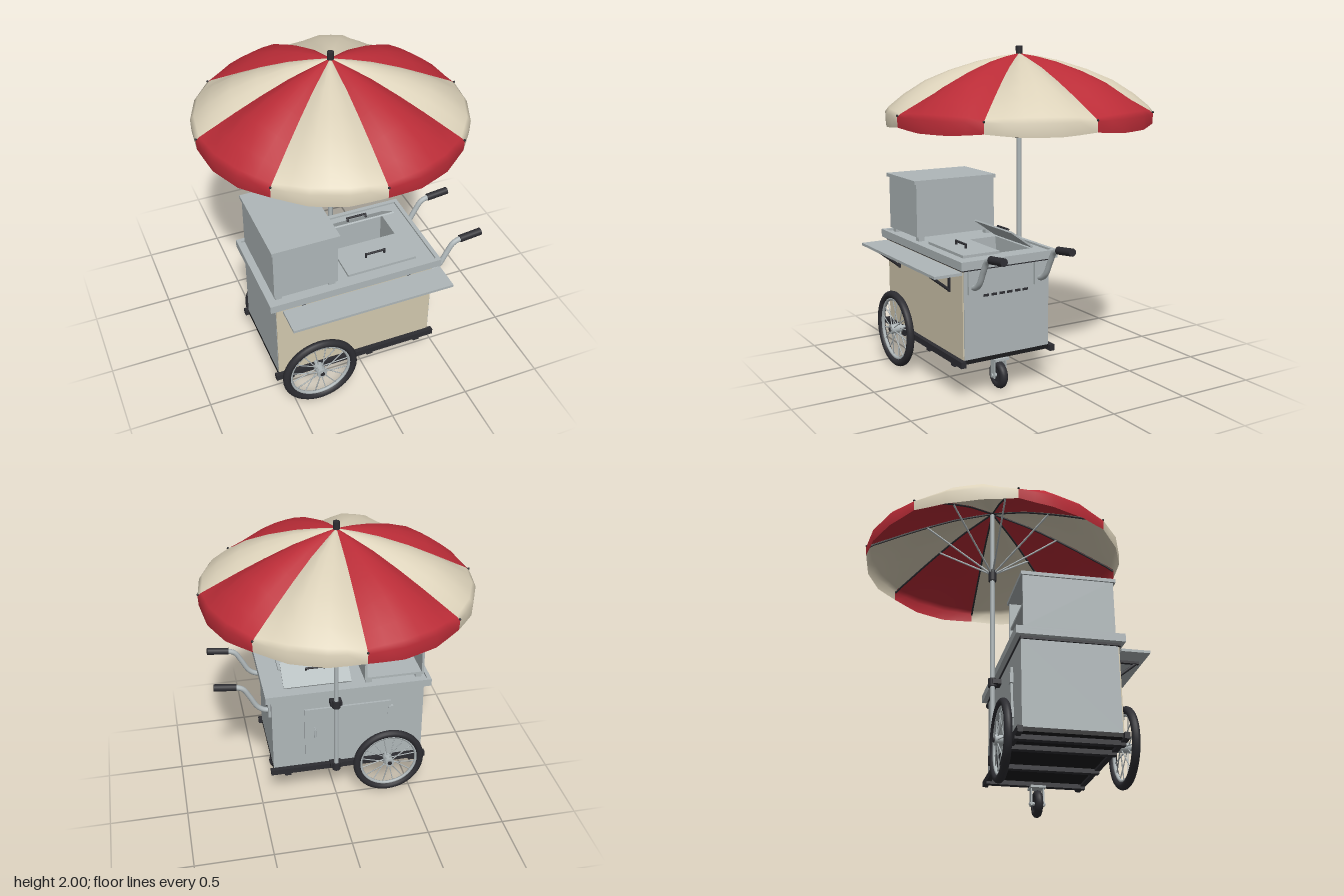
import * as THREE from 'three';

const mat = (name, color, side = THREE.FrontSide) => {
  const m = new THREE.MeshStandardMaterial({ color, side });
  m.name = name;
  return m;
};

export function createModel() {
  const steel = mat('steel', 0xafb7b9);
  const cream = mat('cream paint', 0xd3c9af);
  const creamCloth = mat('cream cloth', 0xdbd1b9, THREE.DoubleSide);
  const redCloth = mat('red cloth', 0xba2c37, THREE.DoubleSide);
  const black = mat('black', 0x2d2d32);
  const under = mat('underside black', 0x1b1b1d);

  const model = new THREE.Group();
  model.name = 'vendingCart';
  const V = (x, y, z) => new THREE.Vector3(x, y, z);

  const add = (name, geo, m, parent = model) => {
    const mesh = new THREE.Mesh(geo, m);
    mesh.name = name;
    parent.add(mesh);
    return mesh;
  };
  const group = (name, x = 0, y = 0, z = 0, parent = model) => {
    const g = new THREE.Group();
    g.name = name;
    g.position.set(x, y, z);
    parent.add(g);
    return g;
  };
  // Box given by its min and max on each axis
  const box = (name, m, x0, x1, y0, y1, z0, z1, parent) => {
    const b = add(name, new THREE.BoxGeometry(x1 - x0, y1 - y0, z1 - z0), m, parent);
    b.position.set((x0 + x1) / 2, (y0 + y1) / 2, (z0 + z1) / 2);
    return b;
  };
  // Round bar between two points
  const bar = (name, m, a, b, r, parent, sides = 12) => {
    const d = b.clone().sub(a);
    const c = add(name, new THREE.CylinderGeometry(r, r, d.length(), sides), m, parent);
    c.position.copy(a).add(b).multiplyScalar(0.5);
    c.quaternion.setFromUnitVectors(V(0, 1, 0), d.normalize());
    return c;
  };
  const rect = (P, x0, x1, z0, z1) => new P().moveTo(x0, z0).lineTo(x1, z0).lineTo(x1, z1).lineTo(x0, z1).closePath();
  // Horizontal plate or ring with a rectangular hole: [x0, x1, z0, z1]
  const ring = (name, m, outer, hole, y0, y1) => {
    const s = rect(THREE.Shape, ...outer);
    s.holes.push(rect(THREE.Path, ...hole));
    const g = new THREE.ExtrudeGeometry(s, { depth: y1 - y0, bevelEnabled: false });
    g.rotateX(Math.PI / 2).translate(0, y1, 0);
    return add(name, g, m);
  };
  // Bow-shaped pull handle along x, standing on y = 0
  const pull = (name, m, w, h, r, parent) => {
    bar(name, m, V(-w / 2, h, 0), V(w / 2, h, 0), r, parent);
    for (const s of [-1, 1]) bar(name + 'Post', m, V(s * w / 2, 0, 0), V(s * w / 2, h + r * 0.8, 0), r, parent);
  };

  // Cart body with cream front panel
  ring('bodyWalls', steel, [-0.59, 0.41, 0.05, 0.615], [-0.575, 0.395, 0.065, 0.6], 0.25, 0.77);
  box('frontPanel', cream, -0.588, 0.405, 0.252, 0.768, 0.615, 0.622);
  ring('topTrim', black, [-0.6, 0.42, 0.045, 0.63], [-0.57, 0.39, 0.07, 0.59], 0.77, 0.785);
  for (let i = 0; i < 6; i++) box('ventSlot', black, 0.41, 0.414, 0.608, 0.622, 0.195 + i * 0.052, 0.23 + i * 0.052);

  // Counter, raised rim and open well
  const open = [-0.1, 0.3, 0.11, 0.32];
  ring('counter', steel, [-0.63, 0.45, 0.015, 0.65], open, 0.785, 0.822);
  ring('counterRim', steel, [-0.63, 0.45, 0.015, 0.65], [-0.605, 0.425, 0.04, 0.625], 0.822, 0.834);
  ring('wellWalls', steel, [-0.105, 0.305, 0.105, 0.325], open, 0.62, 0.8);
  box('wellFloor', steel, -0.105, 0.305, 0.61, 0.62, 0.105, 0.325);

  // Closed front lid and raised rear lid
  box('frontLid', steel, -0.12, 0.32, 0.822, 0.838, 0.33, 0.57);
  pull('frontLidHandle', black, 0.12, 0.022, 0.007, group('frontLidPull', 0.1, 0.838, 0.465));
  const rearLid = group('rearLid', 0.1, 0.828, 0.105);
  rearLid.rotation.x = -0.62;
  box('lidPanel', steel, -0.22, 0.22, 0, 0.01, 0, 0.18, rearLid);
  pull('rearLidHandle', black, 0.12, 0.022, 0.007, group('rearLidPull', 0, 0.01, 0.11, rearLid));

  // Display cabinet, open at the back
  box('cabinetFront', steel, -0.59, -0.2, 0.85, 1.18, 0.59, 0.605);
  for (const x of [-0.59, -0.215]) box('cabinetSide', steel, x, x + 0.015, 0.85, 1.18, 0.065, 0.59);
  for (const y of [0.85, 1.0]) box('cabinetShelf', steel, -0.575, -0.215, y, y + 0.015, 0.07, 0.59);
  box('cabinetRoof', steel, -0.6, -0.192, 1.178, 1.2, 0.055, 0.62);
  for (const x of [-0.56, -0.23]) for (const z of [0.1, 0.57]) box('cabinetFoot', steel, x - 0.02, x + 0.02, 0.822, 0.85, z - 0.02, z + 0.02);

  // Folding front shelf on braces
  box('frontShelf', steel, -0.555, 0.447, 0.76, 0.776, 0.645, 0.818);
  for (const x of [-0.42, 0.25]) {
    bar('shelfBrace', black, V(x, 0.632, 0.628), V(x, 0.757, 0.785), 0.009);
    box('braceRail', black, x - 0.01, x + 0.01, 0.745, 0.76, 0.62, 0.79);
    box('bracePlate', black, x - 0.011, x + 0.011, 0.62, 0.76, 0.62, 0.63);
  }

  // Rear door with hinges and grip
  box('rearDoor', steel, -0.37, 0.2, 0.335, 0.69, 0.036, 0.05);
  for (const y of [0.41, 0.62]) box('doorHinge', steel, -0.385, -0.35, y - 0.03, y + 0.03, 0.028, 0.05);
  const grip = group('doorGrip', 0.135, 0.515, 0.036);
  grip.rotation.set(-Math.PI / 2, Math.PI / 2, 0);
  pull('doorHandle', steel, 0.06, 0.022, 0.006, grip);

  // Push handles
  for (const z of [0.56, 0.12]) {
    box('handlePlate', steel, 0.41, 0.425, 0.635, 0.77, z - 0.033, z + 0.033);
    const path = new THREE.CatmullRomCurve3([V(0.415, 0.672, z), V(0.45, 0.68, z), V(0.49, 0.71, z), V(0.535, 0.79, z),
      V(0.575, 0.853, z), V(0.62, 0.872, z), V(0.66, 0.878, z)]);
    add('pushHandle', new THREE.TubeGeometry(path, 28, 0.017, 12), steel);
    bar('handleGrip', black, V(0.617, 0.872, z), V(0.757, 0.888, z), 0.023, model, 16);
  }

  // Chassis
  box('chassisFloor', under, -0.59, 0.41, 0.225, 0.25, 0.05, 0.615);
  for (const z of [0.035, 0.632]) box('chassisRail', black, -0.612, 0.432, 0.213, 0.25, z - 0.016, z + 0.016);
  for (const x of [-0.52, -0.35, 0.0, 0.32]) box('crossBar', black, x - 0.02, x + 0.02, 0.197, 0.226, 0.02, 0.645);
  bar('axle', steel, V(-0.35, 0.25, -0.055), V(-0.35, 0.25, 0.735), 0.014);

  // Spoked wheels
  for (const z of [-0.02, 0.695]) {
    const w = group('wheel', -0.35, 0.25, z);
    add('tyre', new THREE.TorusGeometry(0.215, 0.024, 12, 48), black, w);
    add('rim', new THREE.TorusGeometry(0.189, 0.011, 8, 48), steel, w);
    bar('hub', steel, V(0, 0, -0.035), V(0, 0, 0.035), 0.03, w, 20);
    for (const s of [-1, 1]) bar('hubCap', black, V(0, 0, s * 0.034), V(0, 0, s * 0.042), 0.014, w);
    for (let i = 0; i < 16; i++) {
      const a = (i + 0.5) * Math.PI / 8, s = i % 2 ? 0.02 : -0.02;
      bar('spoke', steel, V(0.02 * Math.cos(a), 0.02 * Math.sin(a), s), V(0.186 * Math.cos(a), 0.186 * Math.sin(a), 0), 0.0035, w, 6);
    }
  }

  // Swivel caster
  const caster = group('caster', 0.32, 0.09, 0.34);
  add('casterTyre', new THREE.TorusGeometry(0.06, 0.025, 12, 32), black, caster);
  bar('casterDisc', black, V(0, 0, -0.017), V(0, 0, 0.017), 0.06, caster, 24);
  bar('casterAxle', steel, V(0, 0, -0.05), V(0, 0, 0.05), 0.012, caster);
  for (const s of [-1, 1]) box('casterFork', steel, -0.022, 0.022, -0.015, 0.1, s * 0.038 - 0.004, s * 0.038 + 0.004, caster);
  box('casterPlate', steel, -0.045, 0.045, 0.094, 0.108, -0.048, 0.048, caster);

  // Umbrella pole, clamps, runner and cap
  bar('pole', steel, V(0, 0.21, 0), V(0, 1.95, 0), 0.015, model, 16);
  for (const y of [0.245, 0.74]) {
    bar('poleClamp', black, V(0, y - 0.026, 0), V(0, y + 0.026, 0), 0.027, model, 16);
    box('clampArm', black, -0.038, 0.038, y - 0.015, y + 0.015, -0.005, 0.05);
  }
  bar('runner', black, V(0, 1.445, 0), V(0, 1.52, 0), 0.025, model, 16);
  bar('poleCap', black, V(0, 1.945, 0), V(0, 2.0, 0), 0.02, model, 16);

  // Canopy of eight billowing panels: [radius, height at seam, height at middle]
  const prof = [[0.012, 1.955, 1.955], [0.12, 1.922, 1.94], [0.25, 1.88, 1.912], [0.42, 1.808, 1.86], [0.57, 1.738, 1.798],
    [0.7, 1.673, 1.715], [0.79, 1.628, 1.64], [0.813, 1.61, 1.61], [0.81, 1.55, 1.533]];
  const N = 6;
  for (let p = 0; p < 8; p++) {
    const pos = [], idx = [];
    prof.forEach(([r, ySeam, yMid], k) => {
      for (let j = 0; j <= N; j++) {
        const a = (p + j / N) * Math.PI / 4;
        const bulge = Math.min(1, Math.sin(Math.PI * j / N) * 1.1);
        const rr = j % 2 ? r * Math.cos(Math.PI / 24) : r;
        pos.push(rr * Math.cos(a), ySeam + (yMid - ySeam) * bulge, rr * Math.sin(a));
        if (k && j) {
          const c = k * (N + 1) + j, b = c - N - 1;
          idx.push(b - 1, b, c - 1, b, c, c - 1);
        }
      }
    });
    const g = new THREE.BufferGeometry();
    g.setAttribute('position', new THREE.Float32BufferAttribute(pos, 3));
    g.setIndex(idx);
    g.computeVertexNormals();
    add('canopyPanel', g, p % 2 ? redCloth : creamCloth);

    // Rib under each seam, strut to the runner, tip
    const a = p * Math.PI / 4;
    const at = (r, y) => V(r * Math.cos(a), y, r * Math.sin(a));
    const rib = new THREE.CatmullRomCurve3(prof.slice(0, 8).map(([r, y]) => at(r * 0.995, y - 0.008)));
    add('rib', new THREE.TubeGeometry(rib, 16, 0.006, 6), black);
    bar('strut', steel, at(0.02, 1.505), at(0.43, 1.795), 0.006, model, 8);
    add('ribTip', new THREE.SphereGeometry(0.007, 8, 6), black).position.copy(at(0.811, 1.617));
  }
  return model;
}
